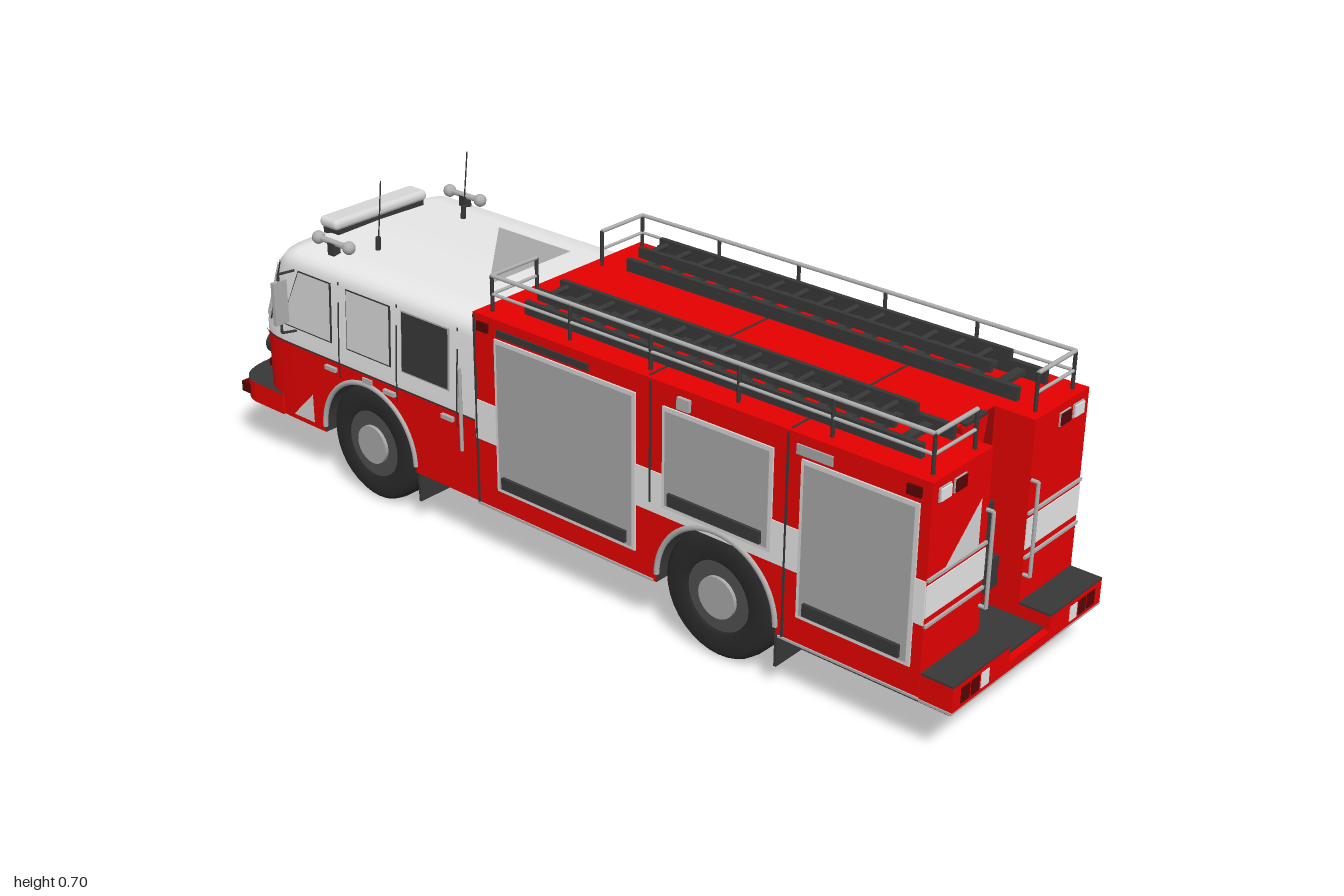
import * as THREE from 'three';
import { RoundedBoxGeometry } from 'three/addons/geometries/RoundedBoxGeometry.js';

const mat = (name, color) => { const m = new THREE.MeshStandardMaterial({ color }); m.name = name; return m; };

export function createModel() {
  const red = mat('red paint', 0xe60000), white = mat('white paint', 0xebebeb), glass = mat('pale glass', 0xd6d6d6),
    shutter = mat('shutter grey', 0xa8a8a8), dark = mat('dark trim', 0x383838), rubber = mat('rubber', 0x2a2a2a),
    maroon = mat('dark red', 0x960404), lampRed = mat('lamp red', 0x560404), metal = mat('metal', 0xb0b0b0),
    rim = mat('rim grey', 0x505050);
  const root = new THREE.Group();
  root.name = 'fireTruck';

  const add = (name, geo, m, x = 0, y = 0, z = 0) => {
    const o = new THREE.Mesh(geo, m);
    o.name = name; o.position.set(x, y, z); root.add(o);
    return o;
  };
  // box given by its limits on each axis
  const box = (name, m, x0, x1, y0, y1, z0, z1) =>
    add(name, new THREE.BoxGeometry(x1 - x0, y1 - y0, Math.abs(z1 - z0)), m, (x0 + x1) / 2, (y0 + y1) / 2, (z0 + z1) / 2);
  // round bar between two points
  const bar = (name, m, a, b, r = 0.004) => {
    const p = new THREE.Vector3(...a), q = new THREE.Vector3(...b), d = q.clone().sub(p);
    const o = add(name, new THREE.CylinderGeometry(r, r, d.length(), 8), m);
    o.position.copy(p).lerp(q, 0.5);
    o.quaternion.setFromUnitVectors(new THREE.Vector3(0, 1, 0), d.normalize());
  };
  const path = (name, m, pts, r) => pts.slice(1).forEach((p, i) => bar(name, m, pts[i], p, r));

  // ---- cab skin: u in [-1,1] sweeps the nose, 1..2 runs back along each side
  const XC = -0.75, BACK = -0.19;
  const levels = [[0.12, -0.93, 0.258], [0.33, -0.93, 0.258], [0.49, -0.86, 0.251], [0.515, -0.835, 0.243],
    [0.53, -0.80, 0.222], [0.539, -0.775, 0.17], [0.543, -0.765, 0]];
  const cabPoint = (u, y, off) => {
    let i = 0;
    while (i < levels.length - 2 && y > levels[i + 1][0]) i++;
    const [a, b] = [levels[i], levels[i + 1]], k = (y - a[0]) / (b[0] - a[0]);
    const f = a[1] + (b[1] - a[1]) * k - off, w = a[2] + (b[2] - a[2]) * k + off;
    if (Math.abs(u) >= 1) return [XC + (BACK - XC) * (Math.abs(u) - 1), y, Math.sign(u) * w];
    const s = Math.sin(u * Math.PI / 2);
    return [XC - (XC - f) * Math.pow(1 - s ** 4, 0.25), y, w * s];
  };
  // patch of the cab skin; slant shifts each edge at the top
  const patch = (name, m, u0, u1, ys, off = 0, n = 24, slant = [0, 0]) => {
    const pos = [], idx = [];
    ys.forEach((y, j) => {
      const k = j / (ys.length - 1), a = u0 + slant[0] * k, b = u1 + slant[1] * k;
      for (let i = 0; i <= n; i++) pos.push(...cabPoint(a + (b - a) * i / n, y, off));
      if (j) for (let i = 0; i < n; i++) {
        const q = j * (n + 1) + i, p = q - n - 1;
        idx.push(p, p + 1, q, p + 1, q + 1, q);
      }
    });
    const g = new THREE.BufferGeometry();
    g.setAttribute('position', new THREE.Float32BufferAttribute(pos, 3));
    g.setIndex(idx); g.computeVertexNormals();
    return add(name, g, m);
  };
  const uAt = x => 1 + (x - XC) / (BACK - XC);
  patch('cabNose', red, -1, 1, [0.12, 0.31], 0, 48);
  patch('cabUpper', white, -2, 2, [0.31, 0.33, 0.41, 0.49, 0.503, 0.515, 0.523, 0.53, 0.535, 0.539, 0.543], 0, 96);
  patch('cabWaistTrim', dark, -2, 2, [0.308, 0.312], 0.003, 96);
  patch('windshieldFrame', dark, -0.853, 0.853, [0.346, 0.493], 0.002, 40);
  for (const s of [-1, 1]) patch('windshield', glass, s < 0 ? -0.845 : 0.006, s < 0 ? -0.006 : 0.845, [0.35, 0.49], 0.004, 24);
  patch('grilleBacking', dark, -0.38, 0.38, [0.18, 0.3], 0.003);
  for (let i = 0; i < 7; i++) patch('grilleSlat', glass, -0.37, 0.37, [0.183 + i * 0.0165, 0.196 + i * 0.0165], 0.006);

  // cab side windows, seams and door handles
  for (const s of [-1, 1]) {
    [[-0.775, -0.64], [-0.585, -0.45], [-0.41, -0.27]].forEach(([x0, x1], i) => {
      const tinted = i === (s > 0 ? 2 : 1), k = i ? 0 : 0.06;
      const put = (name, m, g, off) => {
        const a = uAt(x0 - g), b = uAt(x1 + g);
        patch(name, m, s > 0 ? a : -b, s > 0 ? b : -a, [0.355 - g, 0.49 + g * 0.5], off, 8, s > 0 ? [k, 0] : [0, -k]);
      };
      put('windowFrame', tinted ? metal : dark, 0.004, 0.002);
      put('sideWindow', tinted ? dark : glass, 0, 0.004);
    });
    for (const x of [-0.615, -0.43, -0.245]) {
      const u = uAt(x), e = 0.004;
      patch('doorSeam', dark, s * u - e, s * u + e, [0.275, 0.33, 0.5], 0.002, 1);
    }
    for (const x of [-0.66, -0.47, -0.29]) box('doorHandle', metal, x, x + 0.035, 0.285, 0.295, s * 0.258, s * 0.266);
    bar('cabGrabRail', metal, [-0.225, 0.23, s * 0.268], [-0.225, 0.42, s * 0.268]);
  }

  // ---- lower sides with wheel arches
  const WY = 0.135, AR = 0.148, WX = [-0.53, 0.455];
  const lowerSide = (name, x0, x1, y0, y1, cx) => {
    const s = new THREE.Shape();
    s.moveTo(x0, y0); s.lineTo(cx - AR, y0); s.lineTo(cx - AR, WY);
    s.absarc(cx, WY, AR, Math.PI, 0, true);
    s.lineTo(cx + AR, y0); s.lineTo(x1, y0); s.lineTo(x1, y1); s.lineTo(x0, y1);
    add(name, new THREE.ExtrudeGeometry(s, { depth: 0.516, bevelEnabled: false, curveSegments: 32 }), [red, dark], 0, 0, -0.258);
  };
  lowerSide('cabLower', XC, BACK, 0.12, 0.31, WX[0]);
  lowerSide('bodyLower', BACK, 0.84, 0.115, 0.30, WX[1]);

  // ---- equipment body, rear towers and recess
  box('bodyUpper', red, BACK, 0.84, 0.30, 0.555, -0.258, 0.258);
  box('recessBack', maroon, 0.84, 0.843, 0.14, 0.553, -0.07, 0.07);
  box('recessFloor', dark, 0.84, 0.985, 0.135, 0.14, -0.07, 0.07);
  box('recessPanel', dark, 0.843, 0.86, 0.26, 0.365, -0.068, 0.068);
  box('recessLocker', dark, 0.843, 0.88, 0.19, 0.255, -0.068, -0.01);
  box('recessTopEdge', dark, 0.835, 0.85, 0.553, 0.559, -0.035, 0.035);
  const flap = new THREE.Shape();
  flap.moveTo(-0.043, 0.553); flap.quadraticCurveTo(-0.03, 0.458, 0, 0.457); flap.quadraticCurveTo(0.03, 0.458, 0.043, 0.553);
  add('recessFlap', new THREE.ExtrudeGeometry(flap, { depth: 0.004, bevelEnabled: false }), red, 0.843).rotation.y = Math.PI / 2;
  box('rearStep', red, 0.84, 1, 0.115, 0.135, -0.256, 0.256);
  box('rearStepTrim', metal, 0.93, 1, 0.111, 0.116, -0.258, 0.258);
  for (const x of [0.28, 0.62]) box('roofSeam', dark, x - 0.002, x + 0.002, 0.555, 0.557, -0.25, 0.25);

  // light triangular markings
  const triangle = (name, m, pts) => {
    const g = new THREE.BufferGeometry().setFromPoints(pts.map(p => new THREE.Vector3(...p)));
    g.computeVertexNormals();
    add(name, g, m);
  };
  triangle('roofMarking', shutter, [[-0.5, 0.547, -0.13], [-0.28, 0.547, 0.12], [-0.28, 0.547, -0.13]]);
  triangle('rearMarking', glass, [[0.934, 0.365, 0.21], [0.934, 0.365, 0.1], [0.934, 0.465, 0.1]]);
  triangle('doorMarking', glass, [[-0.78, 0.135, 0.263], [-0.71, 0.135, 0.263], [-0.71, 0.205, 0.263]]);
  triangle('doorMarking', glass, [[-0.71, 0.135, -0.263], [-0.78, 0.135, -0.263], [-0.71, 0.205, -0.263]]);

  for (const s of [-1, 1]) {
    const Z = 0.258 * s, plate = (name, m, x0, x1, y0, y1, t) => box(name, m, x0, x1, y0, y1, Z, Z + s * t);
    box('rearTower', red, 0.84, 0.93, 0.115, 0.555, s * 0.07, Z);
    box('rearStepSide', red, 0.93, 1, 0.13, 0.167, s * 0.07, s * 0.256);
    box('rearStepTread', dark, 0.93, 1, 0.167, 0.171, s * 0.07, s * 0.256);
    plate('sideStripe', white, BACK, 0.93, 0.27, 0.36, 0.002);
    box('rearStripe', white, 0.93, 0.932, 0.285, 0.35, s * 0.07, Z);
    for (const y of [0.268, 0.362]) box('rearStripeTrim', metal, 0.93, 0.935, y - 0.003, y + 0.003, s * 0.07, Z);
    for (const x of [-0.186, 0.29, 0.62]) plate('bodySeam', dark, x - 0.002, x + 0.002, x === 0.29 ? 0.29 : 0.12, 0.55, 0.003);
    plate('sillTrim', metal, BACK, 0.30, 0.115, 0.12, 0.003);
    plate('sillTrim', metal, 0.61, 0.93, 0.115, 0.12, 0.003);

    // roller shutters with frame and lower bar
    for (const [x0, x1, y0, y1] of [[-0.12, 0.245, 0.175, 0.505], [0.33, 0.58, 0.298, 0.5], [0.66, 0.9, 0.185, 0.5]]) {
      plate('shutterFrame', glass, x0 - 0.008, x1 + 0.008, y0 - 0.008, y1 + 0.008, 0.004);
      plate('rollerShutter', shutter, x0, x1, y0, y1, 0.006);
      plate('shutterBar', dark, x0 + 0.012, x1 - 0.012, y0 + 0.006, y0 + 0.032, 0.013);
    }
    plate('lockerVent', dark, -0.12, 0.13, 0.52, 0.535, 0.004);
    plate('sideLamp', metal, 0.36, 0.39, 0.515, 0.54, 0.008);
    plate('sidePanel', shutter, 0.64, 0.72, 0.515, 0.535, 0.004);
    plate('cabBadgePlate', metal, -0.54, -0.51, 0.287, 0.3, 0.004);
    for (const x of [-0.16, 0.895]) plate('markerLamp', lampRed, x - 0.015, x + 0.015, 0.52, 0.54, 0.006);

    // rear lamps and grab rails
    const lamp = (m, x, z0, z1, y0, y1) => {
      box('lampSurround', metal, x, x + 0.003, y0 - 0.002, y1 + 0.002, s * (z0 - 0.002), s * (z1 + 0.002));
      box('rearLamp', m, x, x + 0.006, y0, y1, s * z0, s * z1);
    };
    lamp(white, 0.93, 0.205, 0.237, 0.512, 0.536);
    lamp(lampRed, 0.93, 0.157, 0.19, 0.512, 0.536);
    lamp(white, 0.996, 0.14, 0.165, 0.125, 0.157);
    lamp(lampRed, 0.996, 0.172, 0.197, 0.125, 0.157);
    lamp(lampRed, 0.996, 0.203, 0.23, 0.125, 0.157);
    path('rearGrabRail', metal, [[0.93, 0.23, s * 0.075], [0.945, 0.23, s * 0.075], [0.945, 0.43, s * 0.075], [0.93, 0.43, s * 0.075]]);

    // roof rails
    for (const [y, r] of [[0.633, 0.0045], [0.593, 0.0035]])
      path('roofRail', metal, [[-0.16, y, s * 0.1], [-0.16, y, s * 0.23], [0.91, y, s * 0.23], [0.91, y, s * 0.1]], r);
    for (const x of [-0.16, 0.055, 0.265, 0.48, 0.695, 0.91]) bar('railPost', dark, [x, 0.55, s * 0.23], [x, 0.633, s * 0.23]);
    for (const x of [-0.16, 0.91]) bar('railPost', dark, [x, 0.55, s * 0.1], [x, 0.633, s * 0.1]);

    // two-section ladder
    for (const z of [0.105, 0.203]) box('ladderRail', dark, -0.09, 0.87, 0.562, 0.59, s * (z - 0.006), s * (z + 0.006));
    for (const z of [0.12, 0.188]) box('ladderRail', dark, -0.07, 0.8, 0.593, 0.616, s * (z - 0.005), s * (z + 0.005));
    for (let i = 0; i < 15; i++) {
      const x = -0.05 + i * 0.062;
      box('ladderRung', dark, x - 0.01, x + 0.01, 0.57, 0.58, s * 0.105, s * 0.203);
      if (i < 14) bar('ladderRung', dark, [x, 0.605, s * 0.12], [x, 0.605, s * 0.188], 0.006);
    }

    // mirrors, horns, aerials, wipers, headlamps
    box('mirror', metal, -0.77, -0.76, 0.372, 0.474, s * 0.274, s * 0.311);
    path('mirrorArm', dark, [[-0.76, 0.488, s * 0.245], [-0.765, 0.49, s * 0.293], [-0.765, 0.35, s * 0.293], [-0.76, 0.345, s * 0.255]], 0.003);
    bar('hornTube', metal, [-0.72, 0.56, s * 0.2], [-0.63, 0.56, s * 0.2], 0.007);
    for (const x of [-0.73, -0.63]) add('hornMouth', new THREE.SphereGeometry(0.015, 12, 8), metal, x, 0.56, s * 0.2);
    box('hornFoot', dark, -0.69, -0.67, 0.53, 0.56, s * 0.19, s * 0.21);
    bar('aerialBase', dark, [-0.615, 0.535, s * 0.13], [-0.612, 0.57, s * 0.13], 0.006);
    bar('aerial', dark, [-0.612, 0.56, s * 0.13], [-0.595, 0.703, s * 0.13], 0.0015);
    bar('wiper', dark, [-0.935, 0.342, s * 0.06], [-0.89, 0.43, s * 0.13], 0.004);
    const ring = add('headlampRing', new THREE.CylinderGeometry(0.027, 0.027, 0.024, 20), dark, -0.912, 0.25, s * 0.19);
    const lens = add('headlampLens', new THREE.CylinderGeometry(0.021, 0.021, 0.03, 20), white, -0.912, 0.25, s * 0.19);
    ring.rotation.z = lens.rotation.z = Math.PI / 2;
    box('indicator', lampRed, -0.925, -0.905, 0.195, 0.212, s * 0.17, s * 0.21);
    box('bumperLamp', lampRed, -0.975, -0.945, 0.13, 0.155, s * 0.235, s * 0.256);

    // wheel arch lips, wheels and mud flaps
    WX.forEach((x, i) => {
      add('archLip', new THREE.TorusGeometry(AR, 0.006, 8, 32, Math.PI), metal, x, WY, Z);
      const profile = [[0.07, -0.04], [0.12, -0.04], [0.133, -0.03], [0.136, -0.012], [0.136, 0.012], [0.133, 0.03], [0.12, 0.04], [0.08, 0.04], [0.075, 0.03]];
      for (const z of i ? [0.213, 0.13] : [0.21]) {
        const t = add('tyre', new THREE.LatheGeometry(profile.map(p => new THREE.Vector2(...p)), 36), rubber, x, WY + 0.001, s * z);
        t.rotation.x = s * Math.PI / 2;
      }
      const disc = (name, m, r, z, d) => { add(name, new THREE.CylinderGeometry(r, r, d, 24), m, x, WY, s * z).rotation.x = Math.PI / 2; };
      disc('rim', rim, 0.08, 0.215, 0.06);
      disc('hub', shutter, 0.045, 0.235, 0.036);
      const fx = x + AR + 0.005;
      box('mudFlap', dark, fx - 0.003, fx + 0.003, 0.05, 0.12, s * (i ? 0.095 : 0.15), s * (i ? 0.262 : 0.255));
    });
  }

  // ---- front bumper with a dark tread on top
  const b = new THREE.Shape();
  b.moveTo(-0.82, -0.262); b.lineTo(-0.82, 0.262); b.lineTo(-0.92, 0.262);
  b.quadraticCurveTo(-0.985, 0.255, -0.995, 0.17); b.quadraticCurveTo(-1.003, 0, -0.995, -0.17);
  b.quadraticCurveTo(-0.985, -0.255, -0.92, -0.262);
  const bumper = add('frontBumper', new THREE.ExtrudeGeometry(b, { depth: 0.05, bevelEnabled: false, curveSegments: 12 }), [dark, red], 0, 0.17, 0);
  bumper.rotation.x = Math.PI / 2;

  // ---- roof light bar
  box('lightBarBase', dark, -0.795, -0.745, 0.535, 0.553, -0.13, 0.13);
  add('lightBar', new RoundedBoxGeometry(0.06, 0.026, 0.28, 3, 0.012), glass, -0.77, 0.563, 0);

  // ---- underside
  box('chassis', dark, -0.85, 0.9, 0.105, 0.13, -0.082, 0.082);
  box('gearbox', dark, -0.4, -0.19, 0.07, 0.12, -0.082, 0.082);
  box('noseFloor', dark, -0.86, -0.7, 0.116, 0.122, -0.25, 0.25);
  box('rearFloor', dark, 0.61, 0.995, 0.108, 0.114, -0.255, 0.255);
  box('frontWellCore', dark, -0.69, -0.37, 0.11, 0.3, -0.14, 0.14);
  box('rearWellCore', dark, 0.29, 0.62, 0.11, 0.3, -0.08, 0.08);
  for (const x of WX) bar('axle', dark, [x, WY, -0.2], [x, WY, 0.2], 0.025);
  return root;
}
